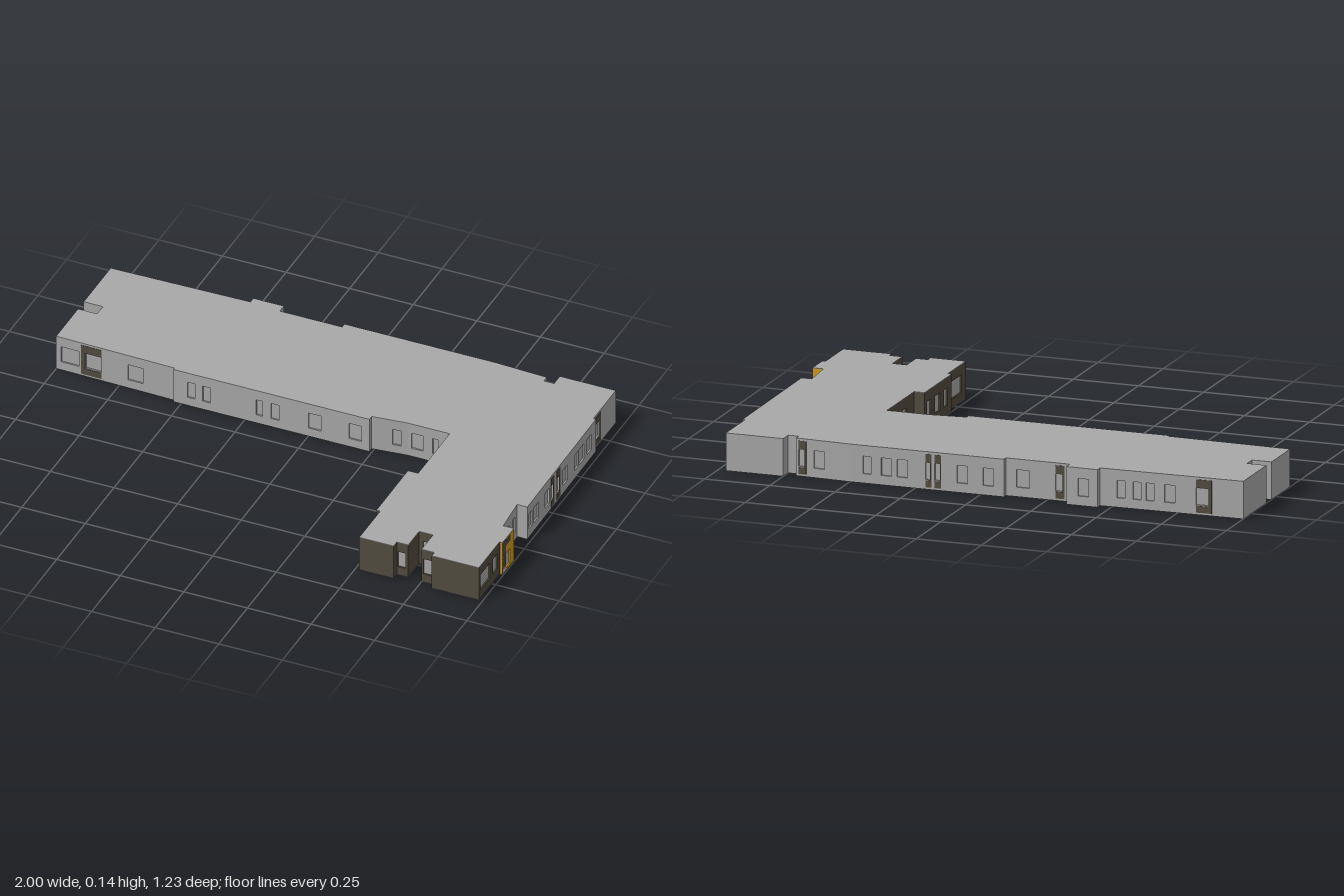
import * as THREE from 'three';

const material = (name, color) => {
  const m = new THREE.MeshStandardMaterial({ color });
  m.name = name;
  return m;
};

export function createModel() {
  const grey = material('pale grey', 0xa8a8a8);
  const dark = material('dark brown', 0x524c3f);
  const yellow = material('amber', 0xcf9a20);
  const H = 0.14, SLAB = 0.002, REVEAL = 0.007, PLATE = 0.003;

  // Wall features: positions run along world x or z of the wall they sit on
  const win = (s0, s1, y0 = 0.035, y1 = 0.1) => ({ s0, s1, y0, y1 });
  const plate = (s0, s1, y0, y1, mat) => ({ s0, s1, y0, y1, mat });
  // Glazed door: dark head and foot panels and a dark strip at the s0 edge
  const door = (s0, s1, strip = 0.2) => {
    const m = s0 + (s1 - s0) * strip;
    return [
      plate(s0, s1, 0.101, 0.131, dark), plate(s0, s1, 0.008, 0.033, dark),
      plate(s0, m, 0.033, 0.101, dark), win(m + (s1 - s0) * 0.02, s1, 0.036, 0.099),
    ];
  };
  const wins = (...pairs) => pairs.map(([a, b]) => win(a, b));

  const features = {
    front: [...door(-0.9, -0.82), ...wins([-0.98, -0.91], [-0.715, -0.655], [-0.475, -0.445],
      [-0.415, -0.385], [-0.205, -0.18], [-0.147, -0.115], [0, 0.05], [0.16, 0.21],
      [0.318, 0.35], [0.39, 0.435], [0.473, 0.495])],
    end: wins([0.655, 0.685], [0.71, 0.735], [0.757, 0.79]),
    right: [
      ...wins([0.515, 0.598], [0.45, 0.49], [0.268, 0.3], [0.21, 0.235], [0.15, 0.176],
        [0.09, 0.133], [-0.005, 0.035], [-0.167, -0.127], [-0.265, -0.23], [-0.315, -0.27],
        [-0.38, -0.338]),
      ...door(-0.047, -0.02, 0.3), ...door(-0.1, -0.07, 0.3), ...door(-0.483, -0.425),
    ],
    entrance: [
      plate(0.43, 0.405, 0.03, 0.136, dark), plate(0.405, 0.367, 0.11, 0.132, dark),
      plate(0.43, 0.405, 0.005, 0.024, grey), win(0.403, 0.367, 0.012, 0.075),
    ],
    back: [
      ...door(0.67, 0.7), ...door(0.187, 0.21), ...door(0.15, 0.175), ...door(-0.315, -0.28),
      ...door(-0.88, -0.82),
      ...wins([0.6, 0.64], [0.49, 0.52], [0.42, 0.45], [0.34, 0.38], [0.28, 0.32], [0.05, 0.09],
        [-0.05, -0.01], [-0.18, -0.13], [-0.42, -0.38], [-0.55, -0.52], [-0.61, -0.58],
        [-0.66, -0.63], [-0.74, -0.7]),
    ],
    west: wins([-0.06, -0.02], [0.04, 0.08], [0.18, 0.22], [0.26, 0.31], [0.35, 0.39], [0.47, 0.57]),
  };

  // Footprint, counterclockwise from above: x, z, then colour and features of the wall that starts there
  const outline = [
    [-1, -0.105, grey, 'front'], [-0.53, -0.095, grey], [-0.53, -0.085, grey, 'front'],
    [0.24, -0.085, grey], [0.24, -0.105, grey, 'front'], [0.375, -0.12, grey, 'front'],
    [0.54, -0.12, dark, 'west'], [0.54, 0.155, dark], [0.5, 0.155, dark, 'west'],
    [0.5, 0.43, dark], [0.515, 0.43, dark, 'west'], [0.515, 0.613, dark],
    [0.65, 0.613, dark], [0.65, 0.585, dark, 'end'], [0.695, 0.585, dark],
    [0.695, 0.49, dark, 'end'], [0.75, 0.49, dark], [0.75, 0.59, dark, 'end'],
    [0.8, 0.59, dark], [0.8, 0.613, dark], [0.985, 0.613, dark, 'right'],
    [0.985, 0.433, dark], [0.997, 0.433, yellow, 'entrance'], [0.997, 0.333, yellow],
    [0.955, 0.333, grey, 'right'], [0.945, 0.19, grey], [0.985, 0.19, grey, 'right'],
    [0.98, -0.42, grey], [0.97, -0.42, grey, 'right'], [0.97, -0.615, grey],
    [0.75, -0.615, grey], [0.75, -0.565, grey], [0.71, -0.565, grey],
    [0.71, -0.59, grey, 'back'], [0.5, -0.6, grey, 'back'], [-0.09, -0.6, grey],
    [-0.09, -0.58, grey, 'back'], [-0.335, -0.58, grey], [-0.335, -0.615, grey, 'back'],
    [-0.455, -0.615, grey], [-0.455, -0.59, grey, 'back'], [-1, -0.58, grey],
    [-1, -0.345, grey], [-0.925, -0.345, grey], [-0.925, -0.295, grey], [-1, -0.295, grey],
  ];

  const model = new THREE.Group();
  model.name = 'building';
  const add = (parent, name, geometry, mat) => {
    const mesh = new THREE.Mesh(geometry, mat);
    mesh.name = name;
    parent.add(mesh);
    return mesh;
  };

  // Floor and roof slabs
  const plan = new THREE.Shape(outline.map(([x, z]) => new THREE.Vector2(x, -z)));
  const slab = new THREE.ExtrudeGeometry(plan, { depth: SLAB, bevelEnabled: false }).rotateX(-Math.PI / 2);
  add(model, 'floor', slab, grey);
  add(model, 'roof', slab, grey).position.y = H - SLAB;

  const rect = (C, x0, x1, y0, y1) => new C([[x0, y0], [x1, y0], [x1, y1], [x0, y1]]
    .map(([x, y]) => new THREE.Vector2(x, y)));

  // One wall per outline edge, with recessed panes and thin panels
  outline.forEach(([ax, az, mat, side], i) => {
    const [bx, bz] = outline[(i + 1) % outline.length];
    const dx = bx - ax, dz = bz - az, length = Math.hypot(dx, dz);
    const alongX = Math.abs(dx) > Math.abs(dz);
    const toU = s => (alongX ? (s - ax) / dx : (s - az) / dz) * length;
    const wall = new THREE.Group();
    wall.name = side ? side + 'Wall' : 'returnWall';
    wall.position.set(ax, 0, az);
    wall.rotation.y = Math.atan2(-dz, dx);
    model.add(wall);

    const shape = rect(THREE.Shape, 0, length, SLAB, H - SLAB);
    for (const f of features[side] || []) {
      const ends = [toU(f.s0), toU(f.s1)].sort((p, q) => p - q);
      const [u0, u1] = ends;
      if (u0 < 0.0005 || u1 > length - 0.0005) continue;
      const depth = f.mat ? PLATE : 0.002;
      const panel = add(wall, f.mat ? 'panel' : 'windowPane',
        new THREE.BoxGeometry(u1 - u0, f.y1 - f.y0, depth), f.mat || grey);
      panel.position.set((u0 + u1) / 2, (f.y0 + f.y1) / 2, f.mat ? 0 : -REVEAL);
      if (!f.mat) shape.holes.push(rect(THREE.Path, u0, u1, f.y0, f.y1));
    }
    const geometry = new THREE.ExtrudeGeometry(shape, { depth: REVEAL, bevelEnabled: false });
    add(wall, 'wallFace', geometry.translate(0, 0, -REVEAL), mat);
  });
  return model;
}
